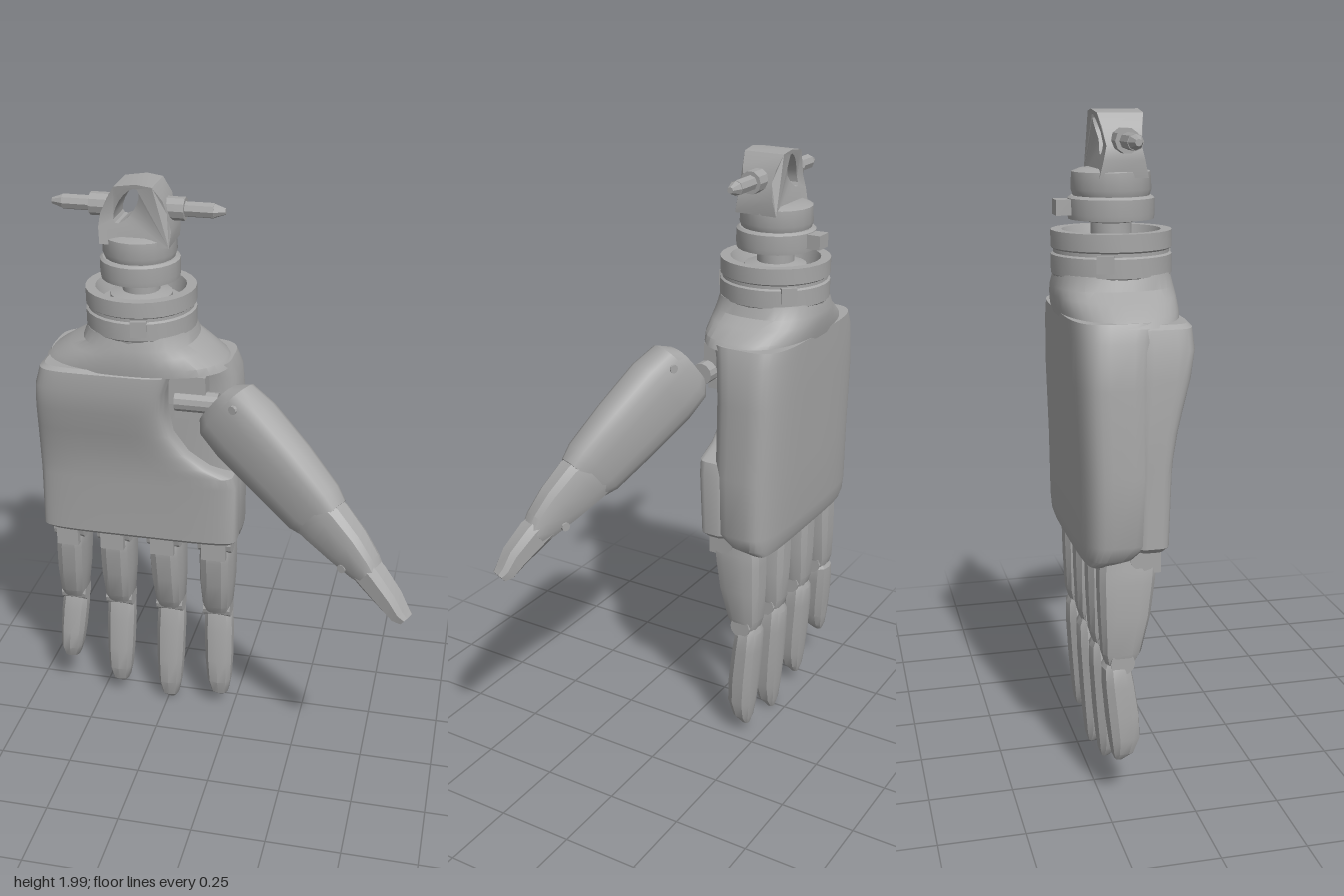
import * as THREE from 'three';
import { toCreasedNormals } from 'three/addons/utils/BufferGeometryUtils.js';

const metal = new THREE.MeshStandardMaterial({ color: 0xa6a6a6 });
metal.name = 'grey metal';

function part(name, geometry, parent, crease = 0.5) {
  const mesh = new THREE.Mesh(toCreasedNormals(geometry, crease), metal);
  mesh.name = name;
  parent.add(mesh);
  return mesh;
}

// Loft of rounded-box rings; each section is [y, xMin, xMax, zMin, zMax], y rising.
function loft(sections, sides = 12, power = 3) {
  const pos = [], idx = [];
  const round = (v) => Math.sign(v) * Math.abs(v) ** (2 / power);
  for (const [y, x0, x1, z0, z1] of sections) {
    for (let j = 0; j < sides; j++) {
      const a = ((j + 0.5) / sides) * Math.PI * 2;
      pos.push((x0 + x1) / 2 + (x1 - x0) / 2 * round(Math.cos(a)), y,
        (z0 + z1) / 2 + (z1 - z0) / 2 * round(Math.sin(a)));
    }
  }
  const n = sections.length;
  for (let i = 0; i < n - 1; i++) {
    for (let j = 0; j < sides; j++) {
      const a = i * sides + j, b = i * sides + (j + 1) % sides;
      idx.push(a, a + sides, b, b, a + sides, b + sides);
    }
  }
  for (let j = 1; j < sides - 1; j++) {
    const t = (n - 1) * sides;
    idx.push(0, j, j + 1, t, t + j + 1, t + j);
  }
  const g = new THREE.BufferGeometry();
  g.setAttribute('position', new THREE.Float32BufferAttribute(pos, 3));
  g.setIndex(idx);
  return g;
}

function box(name, parent, x, y, z, w, h, d) {
  return part(name, new THREE.BoxGeometry(w, h, d).translate(x, y, z), parent);
}

// Cylinder lying along x
function pin(name, parent, x, y, z, r, len, sides = 12, r2 = r) {
  return part(name, new THREE.CylinderGeometry(r2, r, len, sides).rotateZ(-Math.PI / 2).translate(x, y, z), parent);
}

function buildPalm(root) {
  const palm = new THREE.Group();
  palm.name = 'palm';
  root.add(palm);
  part('backShell', loft([
    [0.73, -0.6, -0.01, -0.285, -0.21],
    [0.755, -0.635, 0.02, -0.295, -0.13],
    [0.8, -0.65, 0.032, -0.3, -0.075],
    [1.0, -0.648, 0.035, -0.302, -0.07],
    [1.25, -0.64, 0.03, -0.31, -0.07],
    [1.38, -0.625, 0.02, -0.31, -0.06],
    [1.43, -0.6, 0.0, -0.31, -0.04],
  ], 40, 4), palm, 0.7);
  // Front pad, cut away beside the thumb
  part('frontPad', loft([
    [0.775, -0.635, 0.015, -0.15, -0.055],
    [0.79, -0.65, 0.03, -0.16, -0.04],
    [1.0, -0.643, 0.032, -0.16, -0.03],
    [1.04, -0.642, 0.02, -0.16, -0.026],
    [1.07, -0.641, -0.06, -0.16, -0.022],
    [1.12, -0.639, -0.13, -0.16, -0.014],
    [1.19, -0.635, -0.18, -0.16, 0.004],
    [1.27, -0.63, -0.195, -0.16, 0.026],
    [1.35, -0.622, -0.19, -0.16, 0.04],
    [1.41, -0.605, -0.17, -0.16, 0.036],
    [1.422, -0.59, -0.18, -0.16, 0.025],
  ], 40, 5), palm, 0.6);
  part('shoulder', loft([
    [1.415, -0.61, 0.0, -0.31, 0.035],
    [1.44, -0.585, -0.015, -0.315, 0.038],
    [1.475, -0.525, -0.07, -0.32, 0.038],
    [1.5, -0.48, -0.11, -0.32, 0.035],
    [1.54, -0.465, -0.125, -0.31, 0.025],
  ], 36, 2.4), palm, 0.6);
  // Thumb mount in the recess
  box('thumbBracket', palm, -0.12, 1.36, -0.05, 0.12, 0.1, 0.07);
  box('thumbBracketLower', palm, -0.12, 1.275, -0.055, 0.09, 0.035, 0.06);
  pin('thumbHinge', palm, -0.09, 1.32, -0.03, 0.035, 0.14);
}

function buildWrist(root) {
  const wrist = new THREE.Group();
  wrist.name = 'wrist';
  wrist.position.set(-0.295, 0, -0.142);
  root.add(wrist);
  const lathe = (name, pts, sides) => part(name,
    new THREE.LatheGeometry(pts.map(([r, y]) => new THREE.Vector2(r, y)), sides), wrist);
  // Hollow collar with a groove round it
  lathe('collar', [[0.165, 1.48], [0.172, 1.53], [0.177, 1.535], [0.177, 1.59], [0.17, 1.595],
    [0.17, 1.605], [0.177, 1.61], [0.177, 1.66], [0.145, 1.66], [0.13, 1.61], [0, 1.61]], 28);
  for (const a of [0.2, 2.3, 4.4]) {
    const tab = box('collarTab', wrist, 0, 1.575, 0.172, 0.05, 0.05, 0.02);
    tab.rotation.y = a;
  }
  lathe('shaft', [[0.1, 1.6], [0.1, 1.635], [0.06, 1.645], [0.06, 1.68], [0.085, 1.685], [0.085, 1.7]], 18);
  lathe('lowerDisc', [[0, 1.69], [0.125, 1.69], [0.127, 1.705], [0.127, 1.75], [0.118, 1.757], [0, 1.757]], 24);
  lathe('upperDisc', [[0, 1.757], [0.112, 1.757], [0.118, 1.775], [0.115, 1.825], [0.09, 1.835], [0, 1.835]], 20);
  box('discLug', wrist, 0, 1.725, -0.145, 0.06, 0.045, 0.045);
}

function buildConnector(root) {
  const head = new THREE.Group();
  head.name = 'connector';
  root.add(head);
  // Upright block with a slanted slot, pinched at the waist
  const shape = new THREE.Shape([[-0.4, 1.81], [-0.18, 1.81], [-0.175, 1.86], [-0.19, 1.91],
    [-0.2, 1.95], [-0.23, 1.993], [-0.28, 2], [-0.35, 1.99], [-0.375, 1.95], [-0.4, 1.9],
    [-0.405, 1.86]].map(([x, y]) => new THREE.Vector2(x, y)));
  const slot = new THREE.Path();
  slot.absellipse(-0.315, 1.93, 0.026, 0.066, 0, Math.PI * 2, true, -0.6);
  shape.holes.push(slot);
  const g = new THREE.ExtrudeGeometry(shape, { depth: 0.13, bevelEnabled: false, curveSegments: 8 })
    .translate(0, 0, -0.065);
  const p = g.attributes.position;
  for (let i = 0; i < p.count; i++) {
    p.setZ(i, p.getZ(i) * (0.75 + 3.5 * Math.abs(p.getY(i) - 1.91)) - 0.127);
  }
  part('connectorBlock', g, head);
  for (const s of [-1, 1]) {
    const x = (d) => -0.293 + s * d;
    pin('pinBoss', head, x(0.12), 1.915, -0.127, 0.036, 0.06, 10);
    pin('sidePin', head, x(0.19), 1.915, -0.127, 0.024, 0.1, 8);
    pin('pinTip', head, x(0.255), 1.915, -0.127, s > 0 ? 0.024 : 0.01, 0.04, 8, s > 0 ? 0.01 : 0.024);
  }
}

function buildFinger(root, name, baseX, midX, tipX, tipY, width) {
  const finger = new THREE.Group();
  finger.name = name;
  root.add(finger);
  const ring = (y, x, w, z0, z1) => [y, x - w * width / 2, x + w * width / 2, z0, z1];
  const mix = (t) => baseX + (midX - baseX) * t;
  // Knuckle hinge
  box('knuckleBlock', finger, baseX, 0.755, -0.13, width * 0.68, 0.1, 0.12);
  pin('knucklePin', finger, baseX, 0.76, -0.125, 0.042, width * 0.95);
  part('upperSegment', loft([
    ring(0.435, midX, 0.7, -0.235, -0.15),
    ring(0.47, midX, 0.86, -0.245, -0.13),
    ring(0.58, mix(0.6), 0.98, -0.25, -0.1),
    ring(0.68, mix(0.3), 1, -0.252, -0.085),
    ring(0.72, mix(0.1), 0.95, -0.25, -0.08),
    ring(0.77, baseX, 0.85, -0.24, -0.1),
  ], 12, 3.2), finger);
  pin('middlePin', finger, midX, 0.445, -0.19, 0.036, width * 0.8);
  // Fingertip segment scaled to its length
  const tip = (t, w, z0, z1) => ring(tipY + (0.45 - tipY) * t, tipX + (midX - tipX) * t, w, z0, z1);
  part('tipSegment', loft([
    tip(0, 0.22, -0.212, -0.188),
    tip(0.07, 0.52, -0.222, -0.155),
    tip(0.22, 0.72, -0.23, -0.135),
    tip(0.45, 0.82, -0.238, -0.137),
    tip(0.75, 0.86, -0.245, -0.15),
    tip(0.92, 0.82, -0.245, -0.16),
    tip(1, 0.6, -0.23, -0.17),
  ], 10, 2.6), finger);
}

function buildThumb(root) {
  const thumb = new THREE.Group();
  thumb.name = 'thumb';
  // Local y runs to the tip, local x across the width
  const start = new THREE.Vector3(0.03, 1.33, 0.03);
  const along = new THREE.Vector3(0.62, 0.83, 0.28).sub(start).normalize();
  const across = new THREE.Vector3(0, 1, 0).addScaledVector(along, -along.y).normalize();
  thumb.quaternion.setFromRotationMatrix(
    new THREE.Matrix4().makeBasis(across, along, across.clone().cross(along)));
  thumb.position.copy(start);
  root.add(thumb);
  part('thumbBase', loft([
    [-0.045, -0.1, 0.07, -0.055, 0.05],
    [-0.01, -0.13, 0.115, -0.075, 0.07],
    [0.08, -0.135, 0.13, -0.078, 0.075],
    [0.25, -0.12, 0.127, -0.072, 0.07],
    [0.4, -0.105, 0.115, -0.065, 0.06],
    [0.45, -0.085, 0.1, -0.055, 0.05],
  ], 16, 3), thumb, 0.6);
  part('thumbMiddle', loft([
    [0.38, -0.095, 0.08, -0.06, 0.055],
    [0.46, -0.085, 0.095, -0.062, 0.055],
    [0.56, -0.065, 0.085, -0.058, 0.048],
    [0.64, -0.045, 0.065, -0.052, 0.04],
    [0.68, -0.03, 0.045, -0.045, 0.035],
  ], 12, 3), thumb);
  part('thumbTip', loft([
    [0.6, -0.045, 0.05, -0.045, 0.04],
    [0.68, -0.042, 0.055, -0.05, 0.036],
    [0.77, -0.036, 0.042, -0.05, 0.03],
    [0.82, -0.034, 0.022, -0.045, 0.028],
    [0.845, -0.02, 0.015, -0.035, 0.02],
  ], 8, 3), thumb);
  // Hinge pins showing on both faces
  for (const [y, x, w] of [[0.02, 0.07, 0.145], [0.6, -0.03, 0.105]]) {
    part('hingePin', new THREE.CylinderGeometry(0.014, 0.014, w, 10).rotateX(Math.PI / 2).translate(x, y, -0.004), thumb);
  }
}

export function createModel() {
  const root = new THREE.Group();
  root.name = 'mechanicalHand';
  buildPalm(root);
  buildWrist(root);
  buildConnector(root);
  buildFinger(root, 'littleFinger', -0.57, -0.592, -0.62, 0.14, 0.112);
  buildFinger(root, 'ringFinger', -0.41, -0.42, -0.43, 0.055, 0.12);
  buildFinger(root, 'middleFinger', -0.232, -0.232, -0.24, 0.01, 0.12);
  buildFinger(root, 'indexFinger', -0.05, -0.058, -0.05, 0.05, 0.122);
  buildThumb(root);
  return root;
}
